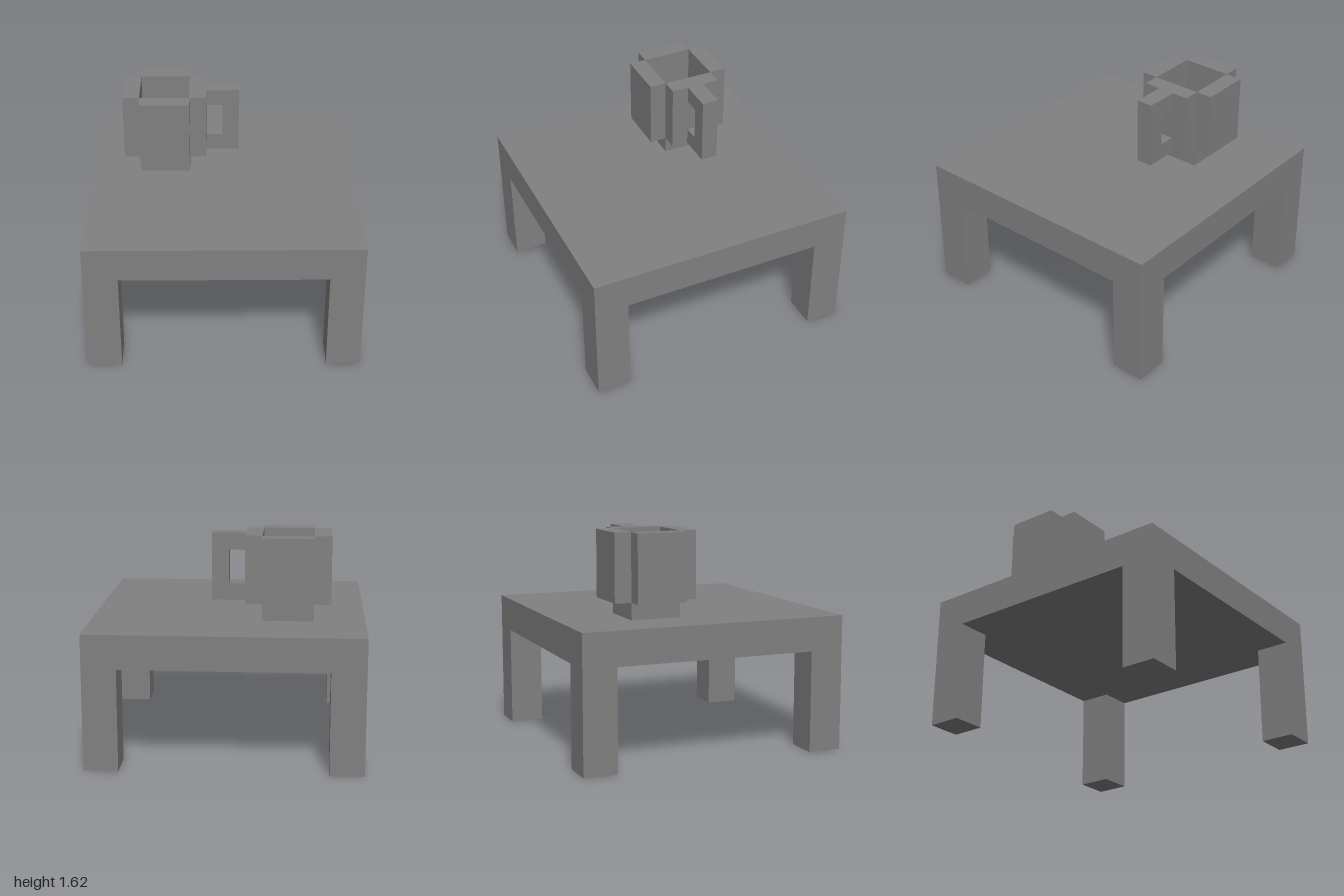
import * as THREE from 'three';

export function createModel() {
  const model = new THREE.Group();
  model.name = 'tableWithMug';
  const grey = new THREE.MeshStandardMaterial({ color: 0x808080 });
  grey.name = 'grey';

  // Axis-aligned block given by its minimum and maximum corners
  function block(parent, name, [x0, y0, z0], [x1, y1, z1]) {
    const mesh = new THREE.Mesh(new THREE.BoxGeometry(x1 - x0, y1 - y0, z1 - z0), grey);
    mesh.position.set((x0 + x1) / 2, (y0 + y1) / 2, (z0 + z1) / 2);
    mesh.name = name;
    parent.add(mesh);
  }

  // Table: thick top on four square corner legs
  const table = new THREE.Group();
  table.name = 'table';
  block(table, 'tableTop', [-1, 0.75, -1], [1, 1, 1]);
  for (const x of [-1, 0.75]) {
    for (const z of [-1, 0.75]) {
      block(table, 'leg', [x, 0, z], [x + 0.25, 0.75, z + 0.25]);
    }
  }
  model.add(table);

  // Mug: local origin at the centre of its base on the table top
  const mug = new THREE.Group();
  mug.name = 'mug';
  mug.position.set(-0.4375, 1, -0.3125);
  const t = 0.125, r = 0.1875, low = 0.125, high = 0.625;
  block(mug, 'mugBase', [-r, 0, -r], [r, low, r]);
  for (const s of [-1, 1]) {
    const a = s > 0 ? r : -r - t;
    block(mug, 'sideWall', [a, low, -r], [a + t, high, r]);
    block(mug, s > 0 ? 'frontWall' : 'backWall', [-r, low, a], [r, high, a + t]);
  }

  // Handle: square loop standing out from the left wall
  const h = new THREE.Shape();
  h.moveTo(0, 0).lineTo(0.25, 0).lineTo(0.25, 0.5).lineTo(0, 0.5)
    .lineTo(0, 0.375).lineTo(0.125, 0.375).lineTo(0.125, 0.125).lineTo(0, 0.125).closePath();
  const handle = new THREE.Mesh(
    new THREE.ExtrudeGeometry(h, { depth: t, bevelEnabled: false }), grey);
  handle.name = 'handle';
  handle.position.set(r + t, low, -t / 2);
  mug.add(handle);
  model.add(mug);

  return model;
}
